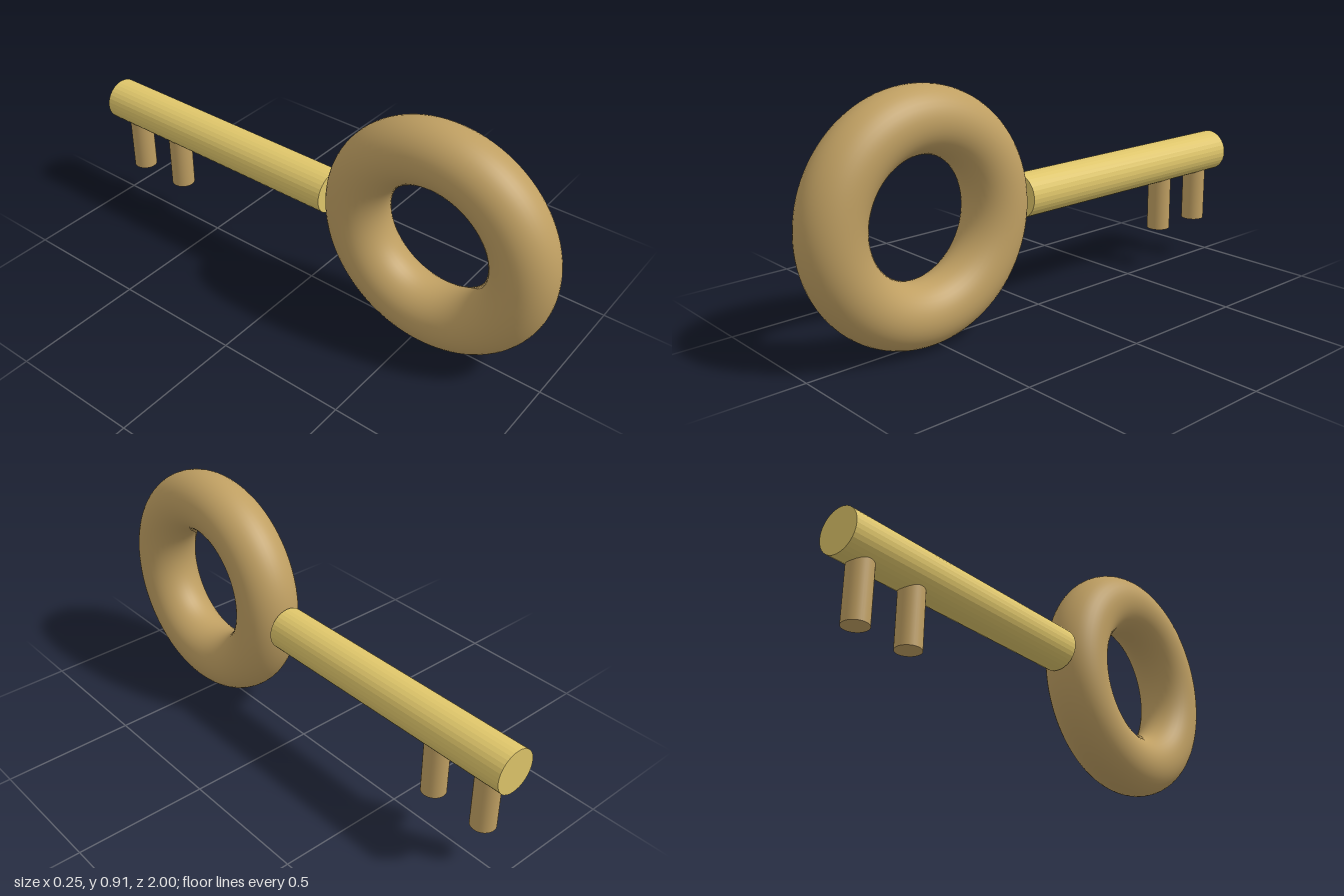
import * as THREE from 'three';

export function createModel() {
  const model = new THREE.Group();
  model.name = 'key';

  const bronze = new THREE.MeshStandardMaterial({ color: 0xbf9f62 });
  bronze.name = 'bronze';
  const brass = new THREE.MeshStandardMaterial({ color: 0xdec56a });
  brass.name = 'brass';
  brass.flatShading = true;

  const add = (name, geometry, material, x, y, z) => {
    const mesh = new THREE.Mesh(geometry, material);
    mesh.name = name;
    mesh.position.set(x, y, z);
    model.add(mesh);
    return mesh;
  };

  // Ring handle, standing in the yz plane with a very slight lean
  const ringGeometry = new THREE.TorusGeometry(0.335, 0.118, 40, 96).rotateY(Math.PI / 2);
  add('ringHandle', ringGeometry, bronze, 0, 0.454, 0.548).rotation.z = 0.022;

  // Shaft running from the ring to the back
  const shaftLength = 1.094;
  const shaftGeometry = new THREE.CylinderGeometry(0.082, 0.082, shaftLength, 32).rotateX(Math.PI / 2);
  add('shaft', shaftGeometry, brass, 0, 0.446, -1 + shaftLength / 2);

  // Two round teeth, sunk into the underside of the shaft
  const toothBottom = 0.165, toothTop = 0.4;
  for (const z of [-0.68, -0.902]) {
    const tooth = new THREE.CylinderGeometry(0.046, 0.046, toothTop - toothBottom, 32);
    add('tooth', tooth, bronze, 0, (toothTop + toothBottom) / 2, z);
  }

  return model;
}
